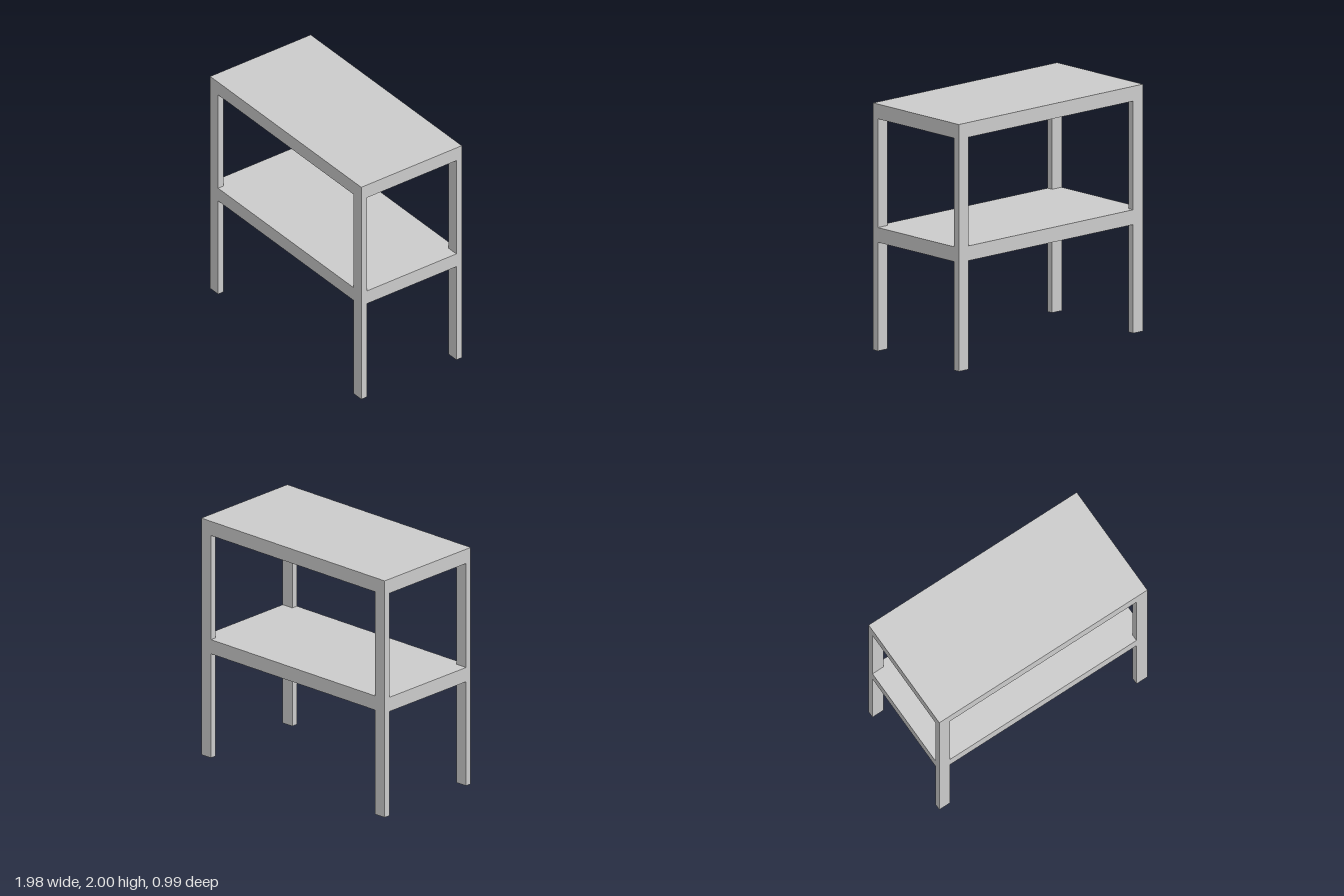
import * as THREE from 'three';

const W = 1.98, D = 0.99;        // overall width and depth
const LEG_W = 0.104, LEG_D = 0.054;
const SLAB = 0.12;               // shelf thickness

export function createModel() {
  const group = new THREE.Group();
  group.name = 'twoTierTable';
  const material = new THREE.MeshStandardMaterial({ color: 0xcccccc });

  const addBox = (name, w, h, d, x, bottom, z) => {
    const mesh = new THREE.Mesh(new THREE.BoxGeometry(w, h, d), material);
    mesh.name = name;
    mesh.position.set(x, bottom + h / 2, z);
    group.add(mesh);
  };

  // Each tier: a slab flush with the four corner legs that carry it
  [['lower', 0, 1], ['upper', 1, 2]].forEach(([tier, base, top]) => {
    addBox(tier === 'upper' ? 'tableTop' : 'lowerShelf', W, SLAB, D, 0, top - SLAB, 0);
    for (const sx of [-1, 1]) {
      for (const sz of [-1, 1]) {
        const name = `${tier}${sz > 0 ? 'Front' : 'Back'}${sx > 0 ? 'Left' : 'Right'}Leg`;
        addBox(name, LEG_W, top - SLAB - base, LEG_D,
          sx * (W - LEG_W) / 2, base, sz * (D - LEG_D) / 2);
      }
    }
  });

  return group;
}
